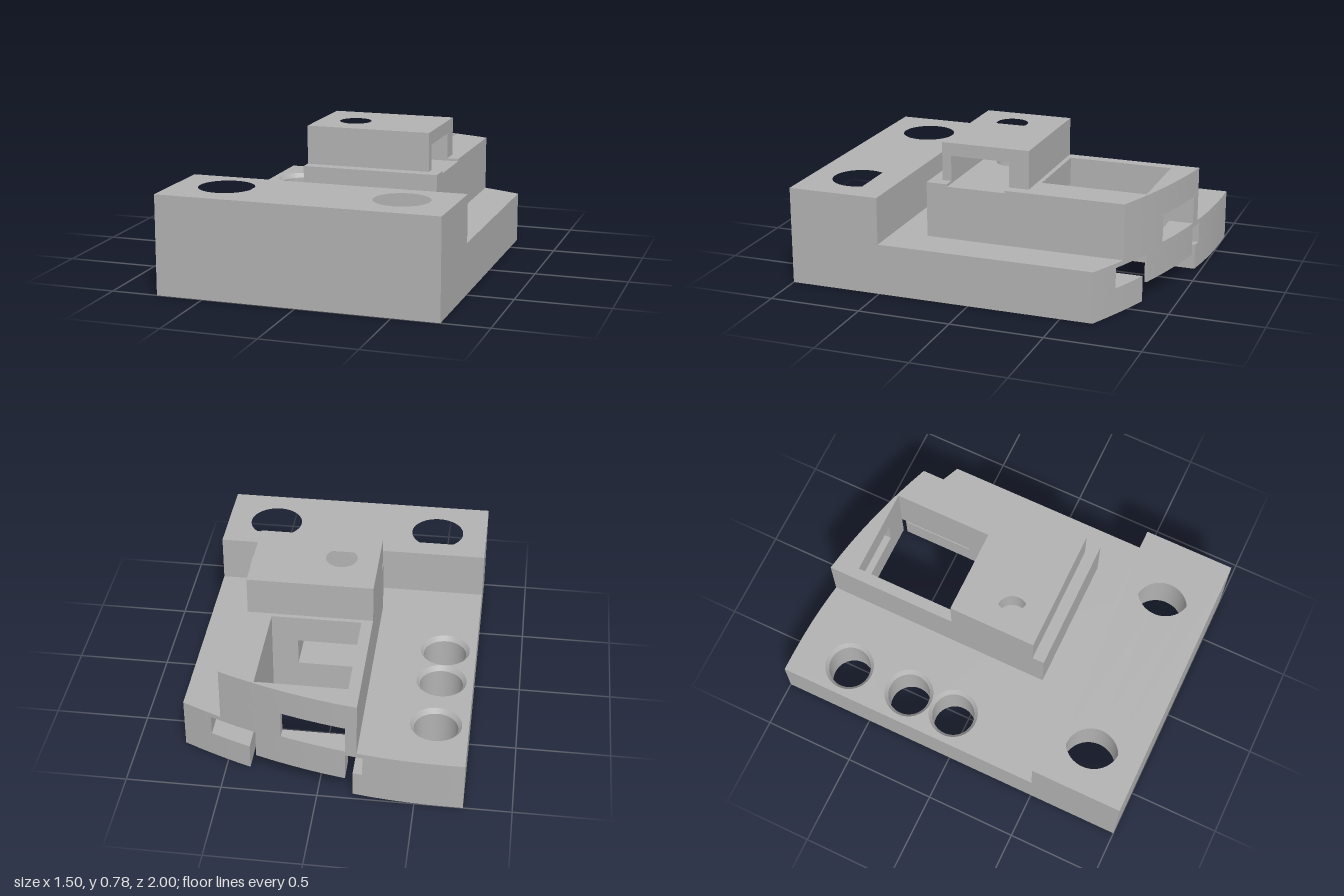
import * as THREE from 'three';
import { toCreasedNormals } from 'three/addons/utils/BufferGeometryUtils.js';

const grey = new THREE.MeshStandardMaterial({ color: 0xb2b2b2 });
grey.name = 'plain grey';

// Rounded rear edge of the plate: z as a function of x
const rearZ = (x) => -1 + (Math.max(x, -0.65) + 0.65) ** 2 / 6;

// Points along the rear edge from x0 to x1
function rear(x0, x1) {
  const n = Math.max(2, Math.ceil(Math.abs(x1 - x0) / 0.1));
  return Array.from({ length: n + 1 }, (_, i) => {
    const x = x0 + ((x1 - x0) * i) / n;
    return [x, rearZ(x)];
  });
}

const rect = (x0, x1, z0, z1) => [[x0, z0], [x1, z0], [x1, z1], [x0, z1]];
const toPoints = (list) => list.map(([x, z]) => new THREE.Vector2(x, -z));

function circle(x, z, r) {
  return Array.from({ length: 48 }, (_, i) => {
    const a = (i / 48) * Math.PI * 2;
    return [x + r * Math.cos(a), z + r * Math.sin(a)];
  });
}

// One horizontal slab: plan outline in x and z, between two heights
function slab(group, name, y0, y1, outline, holes = []) {
  const shape = new THREE.Shape(toPoints(outline));
  for (const h of holes) shape.holes.push(new THREE.Path(toPoints(h)));
  const geo = new THREE.ExtrudeGeometry(shape, { depth: y1 - y0, bevelEnabled: false });
  geo.rotateX(-Math.PI / 2);
  geo.translate(0, y0, 0);
  const mesh = new THREE.Mesh(toCreasedNormals(geo, 0.35), grey);
  mesh.name = name;
  group.add(mesh);
}

export function createModel() {
  const model = new THREE.Group();
  model.name = 'mountingBlock';

  const boltZ = [-0.685, -0.32, -0.05];
  const bolts = (r) => boltZ.map((z) => circle(-0.58, z, r));
  const frontHoles = [-0.47, 0.47].map((x) => circle(x, 0.725, 0.147));
  const pinHole = circle(0, 0.03, 0.085);
  const window = rect(-0.14, 0.34, -0.825, -0.26);
  const inner = 0.115, outer = 0.134, bevel = 0.025;

  // Plate outline with a channel open at the rear; the path runs from +x to -x
  const plate = (channel) => [
    [-0.75, 1], [0.75, 1],
    ...rear(0.75, channel[0][0]), ...channel,
    ...rear(channel[channel.length - 1][0], -0.75),
  ];

  // Underside channel ending in a round recess below the pin hole
  const recess = Array.from({ length: 21 }, (_, i) => {
    const a = 0.11 + ((Math.PI - 0.11) * i) / 20;
    return [0.18 * Math.cos(a), 0.03 + 0.18 * Math.sin(a)];
  });
  const low = plate([[0.375, 0.05], ...recess]);
  slab(model, 'plateUnderside', 0, bevel, low, [...bolts(outer), ...frontHoles]);
  slab(model, 'plateLower', bevel, 0.095, low, [...bolts(inner), ...frontHoles]);

  // Stepped channels around the window
  const stepped = (x0, x1) => plate([
    [x1, -0.4], [0.34, -0.4], [0.34, -0.26], [-0.14, -0.26], [-0.14, -0.4], [x0, -0.4],
  ]);
  const midHoles = [pinHole, ...frontHoles];
  slab(model, 'plateMiddle', 0.095, 0.14, stepped(-0.18, 0.375), [...bolts(inner), ...midHoles]);
  slab(model, 'plateSlotted', 0.14, 0.25, stepped(-0.23, 0.59), [...bolts(inner), ...midHoles]);
  slab(model, 'plateTop', 0.25, 0.275, [[-0.75, 1], [0.75, 1], ...rear(0.75, -0.75)],
    [...bolts(outer), ...midHoles, window]);

  // Rear bridge behind the window
  slab(model, 'rearBridge', 0.095, 0.25,
    [[-0.14, -0.825], [0.34, -0.825], ...rear(0.34, -0.14)]);

  // Countersinks at both ends of the bolt holes
  for (const z of boltZ) {
    for (const [yFace, yDeep] of [[0, bevel], [0.275, 0.275 - bevel]]) {
      const profile = [[outer, yFace], [inner, yDeep]].map(([r, y]) => new THREE.Vector2(r, y));
      if (yFace > yDeep) profile.reverse();
      else profile.reverse();
      const mat = countersinkMaterial;
      const ring = new THREE.Mesh(new THREE.LatheGeometry(profile, 48), mat);
      ring.name = 'countersink';
      ring.position.set(-0.58, 0, z);
      model.add(ring);
    }
  }

  // Front block
  slab(model, 'frontBlock', 0.275, 0.53, rect(-0.75, 0.75, 0.5, 1), frontHoles);

  // Upper housing: tunnel level, then solid level around the window
  slab(model, 'housingTunnel', 0.275, 0.425, [
    [-0.2, 0.31], [0.535, 0.31], ...rear(0.535, 0.2),
    [0.2, -0.825], [0.34, -0.825], [0.34, -0.26], [0.2, -0.26], [0.2, 0.13], [-0.14, 0.13],
    ...rear(-0.14, -0.2),
  ]);
  slab(model, 'housingUpper', 0.425, 0.56,
    [[-0.2, 0.31], [0.535, 0.31], ...rear(0.535, -0.2)], [window, pinHole]);

  // Side slot cut into the housing top and the cap
  const slot = (x) => [[x, 0.195], [-0.1, 0.195], [-0.1, -0.125], [x, -0.125]];
  slab(model, 'housingTop', 0.56, 0.573,
    [[-0.2, 0.31], [0.535, 0.31], ...slot(0.535), ...rear(0.535, -0.2)], [window]);
  slab(model, 'capSlotted', 0.573, 0.71,
    [[-0.2, 0.245], [0.473, 0.245], ...slot(0.473), [0.473, -0.235], [-0.2, -0.235]]);
  slab(model, 'capTop', 0.71, 0.78, rect(-0.2, 0.473, -0.235, 0.245), [pinHole]);

  return model;
}

// Open cone surfaces show from both sides
const countersinkMaterial = new THREE.MeshStandardMaterial({ color: 0xb2b2b2, side: THREE.DoubleSide });
countersinkMaterial.name = 'countersink grey';
